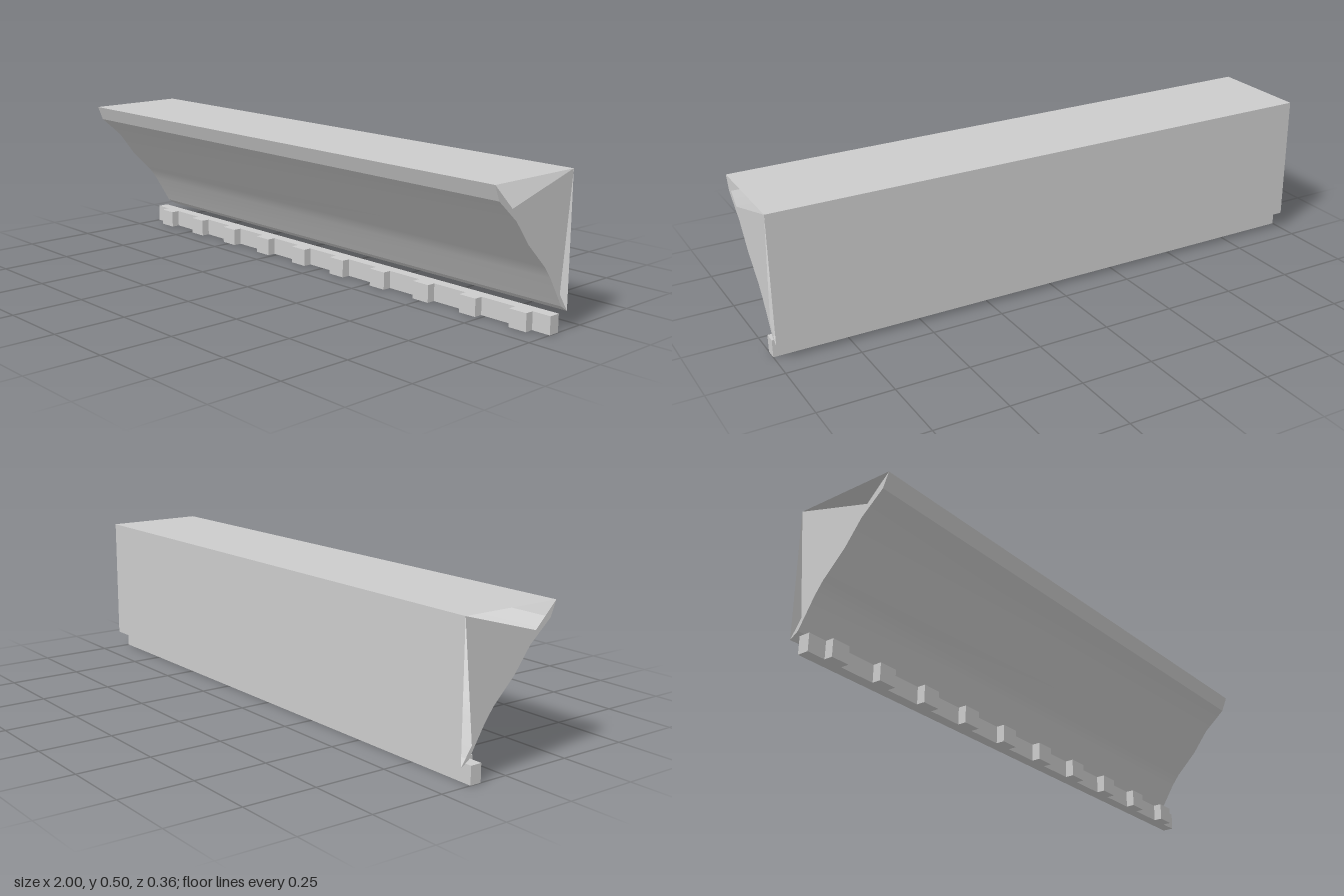
import * as THREE from 'three';

// Cross-section of the moulding as [z, y], running down the front.
const lip = [[0.18, 0.5], [0.16, 0.45]];
const curve = [[0.16, 0.45], [0.08, 0.38], [0.02, 0.3], [-0.06, 0.22], [-0.09, 0.18], [-0.15, 0.08]];
const foot = [[-0.15, 0.08], [-0.18, 0.06]];
const back = [[-0.18, 0.06], [-0.18, 0.5]];
const top = [[-0.18, 0.5], [0.18, 0.5]];

// Sweep a run of profile points along x; normals are smooth within the run.
function strip(points) {
  const positions = [];
  const index = [];
  points.forEach(([z, y], i) => {
    positions.push(-1, y, z, 1, y, z);
    if (i > 0) {
      const a = 2 * i - 2;
      index.push(a, a + 2, a + 1, a + 1, a + 2, a + 3);
    }
  });
  const geometry = new THREE.BufferGeometry();
  geometry.setAttribute('position', new THREE.Float32BufferAttribute(positions, 3));
  geometry.setIndex(index);
  geometry.computeVertexNormals();
  return geometry;
}

export function createModel() {
  const model = new THREE.Group();
  const plaster = new THREE.MeshStandardMaterial({ color: 0xcccccc, side: THREE.DoubleSide });
  plaster.name = 'plaster grey';

  const add = (name, geometry, x = 0, y = 0, z = 0) => {
    const mesh = new THREE.Mesh(geometry, plaster);
    mesh.name = name;
    mesh.position.set(x, y, z);
    model.add(mesh);
  };

  // Hollow moulding shell
  add('frontLip', strip(lip));
  add('curvedFace', strip(curve));
  add('foot', strip(foot));
  add('backFace', strip(back));
  add('topFace', strip(top));

  // End caps, notched at the top and back so the shell stays open there
  const outline = [lip[0], ...curve, foot[1], [-0.14, 0.12], [-0.18, 0.5], [0.1, 0.42]];
  for (const side of [1, -1]) {
    const shape = new THREE.Shape(outline.map(([z, y]) => new THREE.Vector2(-side * z, y)));
    const cap = new THREE.ShapeGeometry(shape).rotateY(side * Math.PI / 2);
    add(side > 0 ? 'leftEndCap' : 'rightEndCap', cap, side);
  }

  // Dentil rail with its row of blocks
  add('dentilRail', new THREE.BoxGeometry(2, 0.06, 0.04), 0, 0.03, -0.12);
  const block = new THREE.BoxGeometry(0.2 / 3, 0.06, 0.03);
  for (let i = 0; i < 10; i++) add('dentilBlock', block, -0.9 + 0.2 * i, 0.03, -0.085);

  return model;
}
